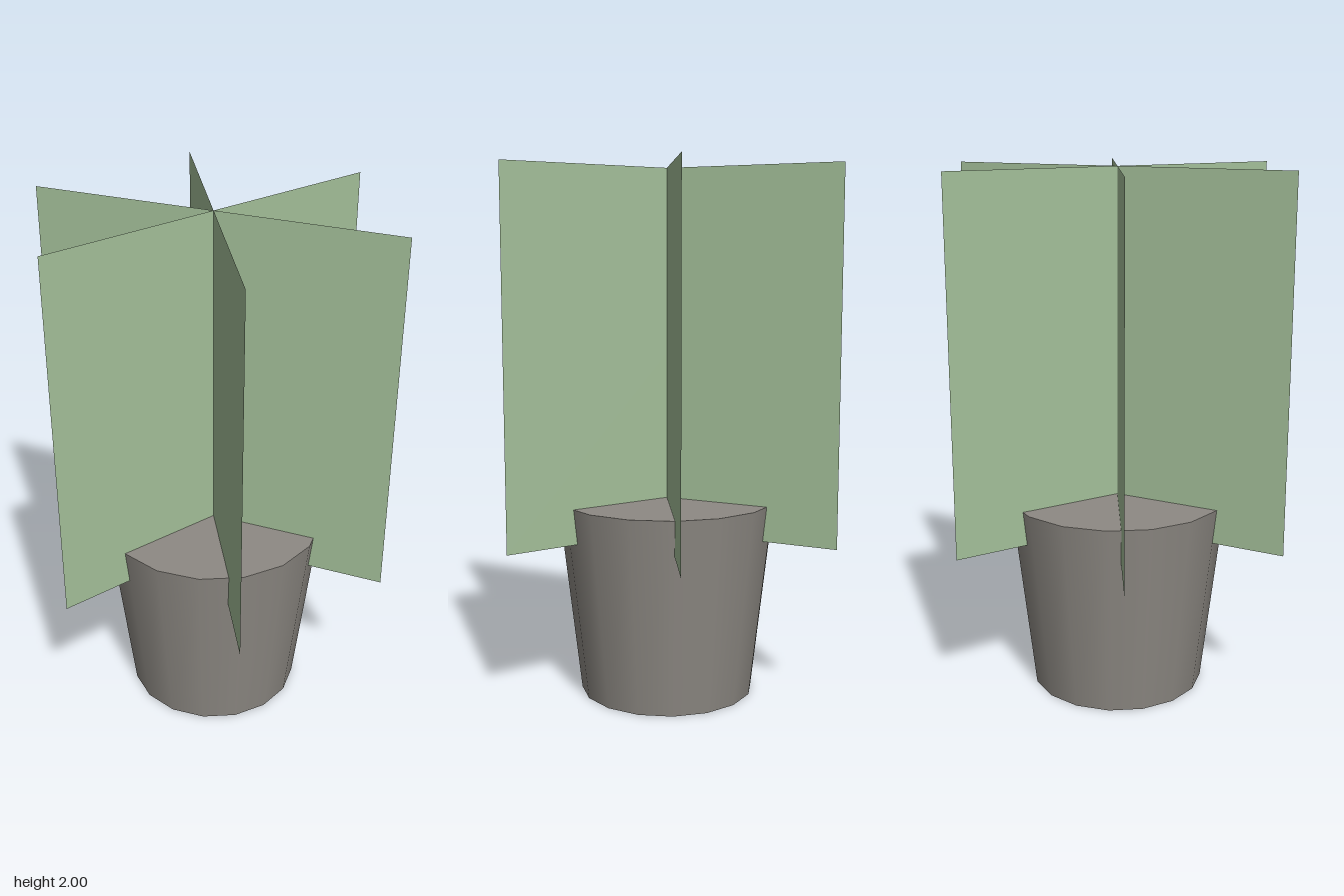
import * as THREE from 'three';

export function createModel() {
  const model = new THREE.Group();
  const potGrey = new THREE.MeshStandardMaterial({ color: 0x8e8a84 });
  potGrey.name = 'potGrey';
  const leafGreen = new THREE.MeshStandardMaterial({ color: 0xa4c09a, side: THREE.DoubleSide });
  leafGreen.name = 'leafGreen';

  // Tapered sixteen-sided pot, smooth around the side
  const potHeight = 0.755;
  const pot = new THREE.Mesh(new THREE.CylinderGeometry(0.42, 0.333, potHeight, 16), potGrey);
  pot.name = 'pot';
  pot.position.y = potHeight / 2;
  model.add(pot);

  // Three flat foliage sheets crossing on the pot's axis
  const bottom = 0.622, top = 2;
  const sheet = new THREE.PlaneGeometry(1.374, top - bottom);
  const foliage = new THREE.Group();
  foliage.name = 'foliage';
  for (let i = 0; i < 3; i++) {
    const leaf = new THREE.Mesh(sheet, leafGreen);
    leaf.name = `foliageSheet${i + 1}`;
    leaf.position.y = (bottom + top) / 2;
    leaf.rotation.y = i * Math.PI / 3;
    foliage.add(leaf);
  }
  model.add(foliage);
  return model;
}
